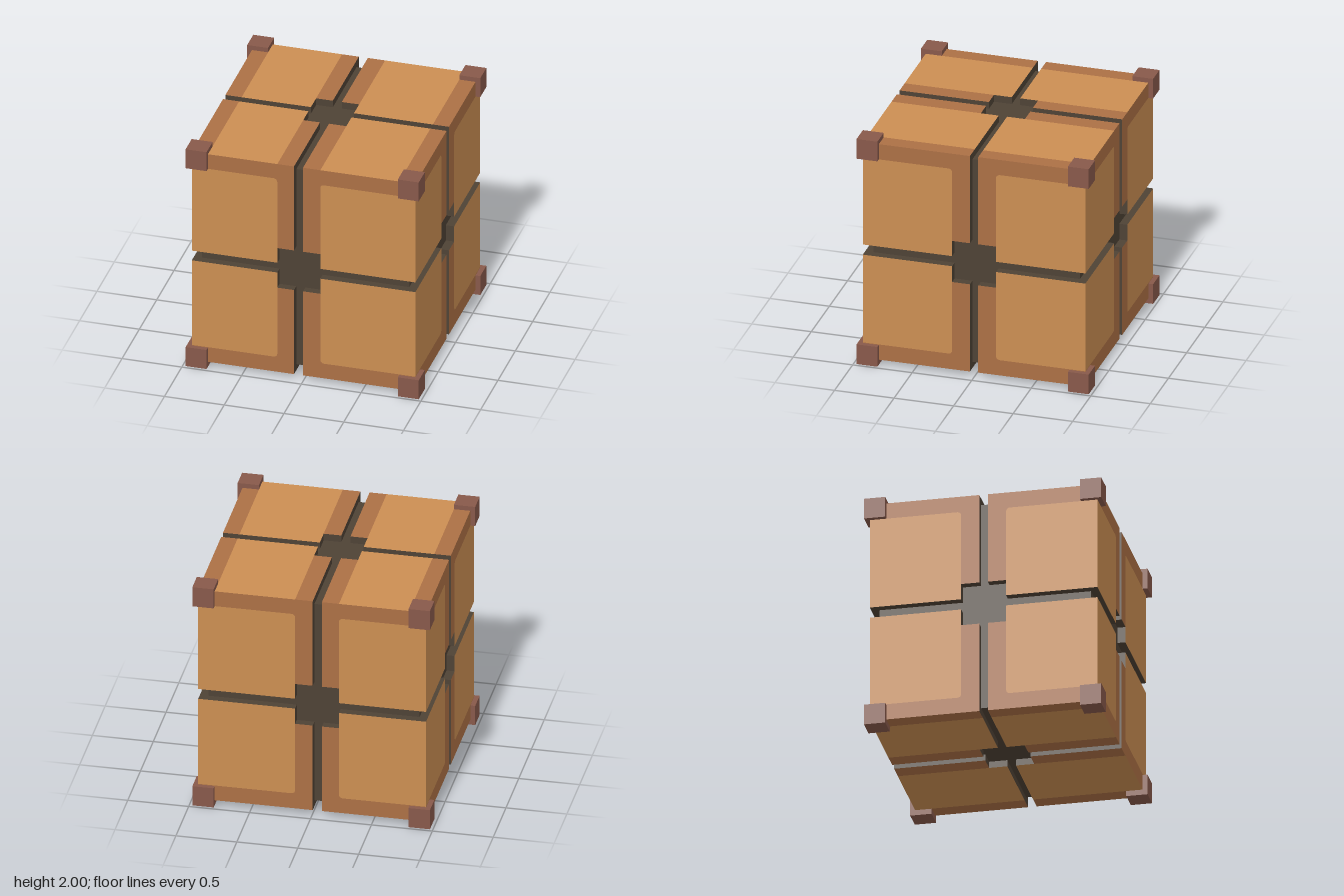
import * as THREE from 'three';

// Limits along each axis as [low, high]
const OUTER = { x: [-0.935, 0.935], y: [0.045, 1.96], z: [-0.935, 0.935] };
const CORE = { x: [-0.868, 0.865], y: [0.1, 1.9], z: [-0.868, 0.868] };
const GROOVE = { x: [-0.08, -0.005], y: [0.96, 1.05], z: [-0.035, 0.035] };
const NOTCH = { x: [-0.22, 0.14], y: [0.82, 1.185], z: [-0.185, 0.185] };
const PANEL = { x: [-0.8, 0.8], y: [0.18, 1.825] };
const CORNER = 0.175, CORNER_MID = 0.8875, ROUND = 0.03;

const wood = new THREE.MeshStandardMaterial({ color: 0xcb8e52 });
const frame = new THREE.MeshStandardMaterial({ color: 0xac7045 });
const dark = new THREE.MeshStandardMaterial({ color: 0x4e4235, side: THREE.DoubleSide });
const cap = new THREE.MeshStandardMaterial({ color: 0x88594a });
wood.name = 'lightWood';
frame.name = 'frameBrown';
dark.name = 'darkCore';
cap.name = 'cornerBrown';

function add(group, name, geometry, material) {
  const mesh = new THREE.Mesh(geometry, material);
  mesh.name = name;
  group.add(mesh);
  return mesh;
}

// Flat polygon given in (u, v), laid on the outer plane of a face
function plate(points, { n, u, v, side }) {
  const geo = new THREE.ShapeGeometry(new THREE.Shape(points.map(p => new THREE.Vector2(...p))));
  const pos = geo.attributes.position;
  const out = new THREE.Vector3();
  for (let i = 0; i < pos.count; i++) {
    out[u] = pos.getX(i);
    out[v] = pos.getY(i);
    out[n] = OUTER[n][side];
    pos.setXYZ(i, out.x, out.y, out.z);
  }
  geo.computeVertexNormals();
  const k = { x: 0, y: 1, z: 2 }[n];
  if ((geo.attributes.normal.array[k] > 0) !== (side === 1)) {
    geo.setIndex(Array.from(geo.index.array).reverse());
    geo.computeVertexNormals();
  }
  return geo;
}

// Strip that drops from the outer plane to the core along a path
function walls(path, { n, u, v, side }) {
  const at = (p, limits) => {
    const q = new THREE.Vector3();
    q[u] = p[0];
    q[v] = p[1];
    q[n] = limits[n][side];
    return q;
  };
  const pts = [];
  for (let i = 0; i + 1 < path.length; i++) {
    const a = at(path[i], OUTER), b = at(path[i + 1], OUTER);
    const c = at(path[i + 1], CORE), d = at(path[i], CORE);
    pts.push(a, b, c, a, c, d);
  }
  const geo = new THREE.BufferGeometry().setFromPoints(pts);
  geo.computeVertexNormals();
  return geo;
}

// One quarter of a face: panel, frame and groove walls
function quarter(group, face, i, j) {
  const { n, u, v } = face;
  const gu = GROOVE[u][i], nu = NOTCH[u][i], ou = OUTER[u][i];
  const gv = GROOVE[v][j], nv = NOTCH[v][j], ov = OUTER[v][j];
  if (n === 'y') {
    const pu = PANEL[u][i];
    add(group, 'panel', plate([[nu, gv], [pu, gv], [pu, ov], [nu, ov]], face), wood);
    add(group, 'innerStripe', plate([[gu, nv], [nu, nv], [nu, ov], [gu, ov]], face), frame);
    add(group, 'outerStripe', plate([[pu, gv], [ou, gv], [ou, ov], [pu, ov]], face), frame);
  } else {
    const pv = PANEL[v][j];
    const du = Math.sign(ou - nu), dv = Math.sign(ov - gv);
    // rounded panel corner
    const arc = [];
    for (let k = 0; k <= 5; k++) {
      const t = (k / 5) * Math.PI / 2;
      arc.push([nu + du * ROUND * (1 - Math.cos(t)), pv - dv * ROUND * (1 - Math.sin(t))]);
    }
    add(group, 'panel', plate([[nu, gv], ...arc, [ou, pv], [ou, gv]], face), wood);
    add(group, 'panelFrame', plate([[gu, nv], [nu, nv], ...arc, [ou, pv], [ou, ov], [gu, ov]], face), frame);
  }
  add(group, 'grooveWalls', walls([[gu, ov], [gu, nv], [nu, nv], [nu, gv], [ou, gv]], face), dark);
}

export function createModel() {
  const model = new THREE.Group();
  model.name = 'crate';

  // Dark inner core
  const size = a => CORE[a][1] - CORE[a][0];
  const mid = a => (CORE[a][1] + CORE[a][0]) / 2;
  add(model, 'core', new THREE.BoxGeometry(size('x'), size('y'), size('z')), dark)
    .position.set(mid('x'), mid('y'), mid('z'));

  // Six faces of four quarters each
  const faces = [
    ['front', 'z', 'x', 'y', 1], ['back', 'z', 'x', 'y', 0],
    ['left', 'x', 'z', 'y', 1], ['right', 'x', 'z', 'y', 0],
    ['top', 'y', 'x', 'z', 1], ['bottom', 'y', 'x', 'z', 0],
  ];
  for (const [name, n, u, v, side] of faces) {
    const group = new THREE.Group();
    group.name = name + 'Face';
    for (const i of [0, 1]) for (const j of [0, 1]) quarter(group, { n, u, v, side }, i, j);
    model.add(group);
  }

  // Corner caps
  const capGeo = new THREE.BoxGeometry(CORNER, CORNER, CORNER);
  for (const x of [-1, 1]) for (const y of [-1, 1]) for (const z of [-1, 1]) {
    add(model, 'cornerCap', capGeo, cap)
      .position.set(x * CORNER_MID, 1 + y * (1 - CORNER / 2), z * CORNER_MID);
  }
  return model;
}
